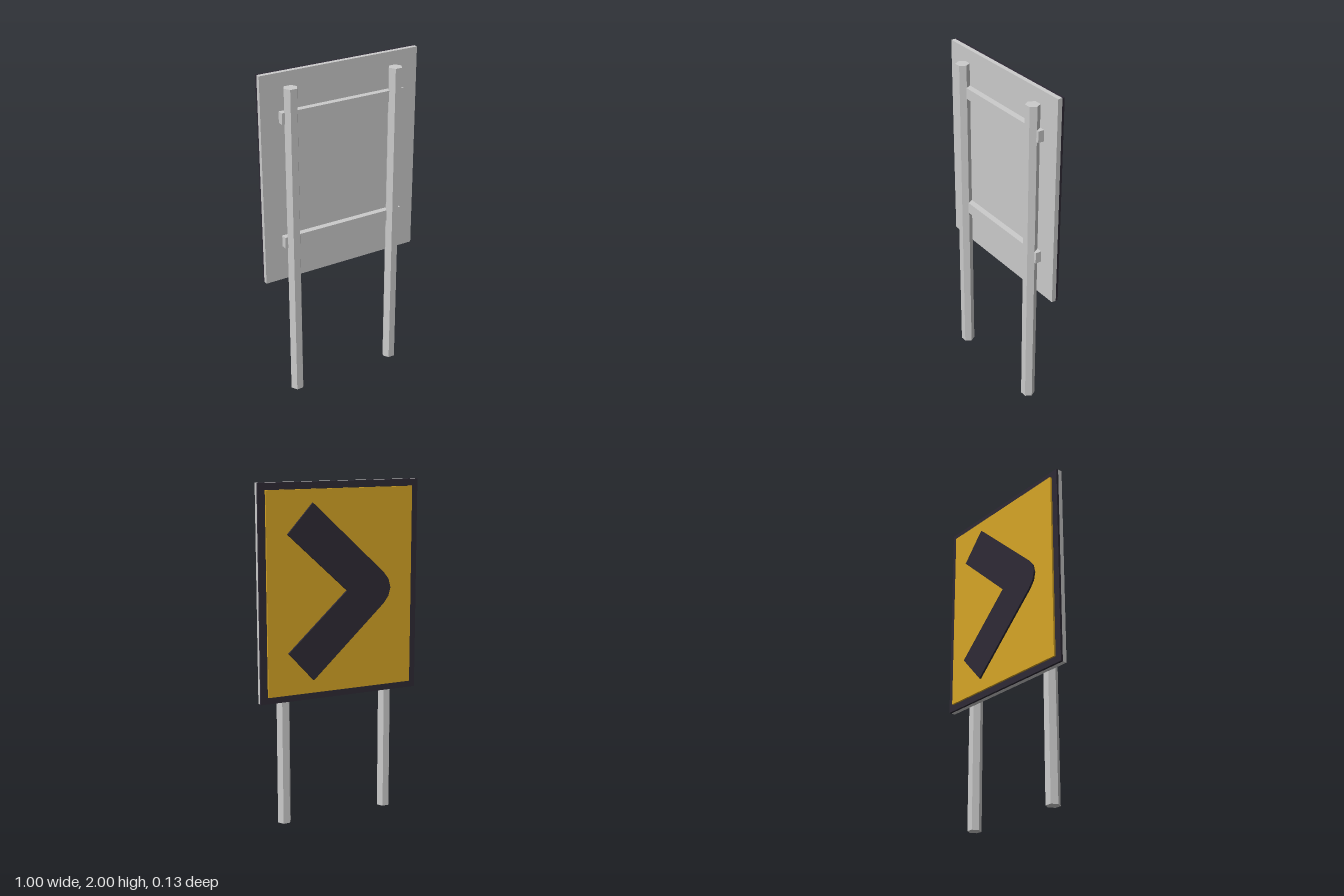
import * as THREE from 'three';

const material = (color) => new THREE.MeshStandardMaterial({ color, flatShading: true });

export function createModel() {
  const model = new THREE.Group();
  model.name = 'roadSign';
  const grey = material(0xcccccc);
  const dark = material(0x2e2a35);
  const yellow = material(0xd6a526);

  const add = (name, geometry, mat, x, y, z) => {
    const mesh = new THREE.Mesh(geometry, mat);
    mesh.name = name;
    mesh.position.set(x, y, z);
    model.add(mesh);
  };
  // Box given by its width and its y and z ranges
  const slab = (name, mat, width, y0, y1, z0, z1) =>
    add(name, new THREE.BoxGeometry(width, y1 - y0, z1 - z0), mat, 0, (y0 + y1) / 2, (z0 + z1) / 2);

  // Layered sign board, facing -z
  slab('boardBacking', grey, 1, 0.755, 2, -0.029, -0.002);
  slab('boardBorder', dark, 1, 0.755, 2, -0.043, -0.029);
  slab('signFace', yellow, 0.916, 0.795, 1.96, -0.055, -0.043);

  // Chevron: upper half outline, mirrored about its middle height
  const midY = 1.378;
  const half = [[-0.27, 0.092], [0.18, 0.507], [0.335, 0.337]];
  const outline = [
    [-0.315, 0], [-0.302, 0.05], ...half, [-0.033, 0],
    ...half.slice().reverse().map(([x, y]) => [x, -y]), [-0.302, -0.05],
  ];
  const shape = new THREE.Shape(outline.map(([x, y]) => new THREE.Vector2(x, y)));
  const chevron = new THREE.ExtrudeGeometry(shape, { depth: 0.012, bevelEnabled: false });
  add('chevron', chevron, dark, 0, midY, -0.067);

  // Hexagonal posts with a flat side toward the board
  for (const side of [-1, 1]) {
    const post = new THREE.CylinderGeometry(0.041, 0.041, 1.92, 6).rotateY(Math.PI / 6);
    add(side > 0 ? 'leftPost' : 'rightPost', post, grey, side * 0.333, 0.96, 0.032);
  }

  // Cross rails joining the posts to the board
  slab('lowerRail', grey, 0.78, 0.97, 1.038, -0.002, 0.035);
  slab('upperRail', grey, 0.78, 1.72, 1.786, -0.002, 0.035);

  return model;
}
